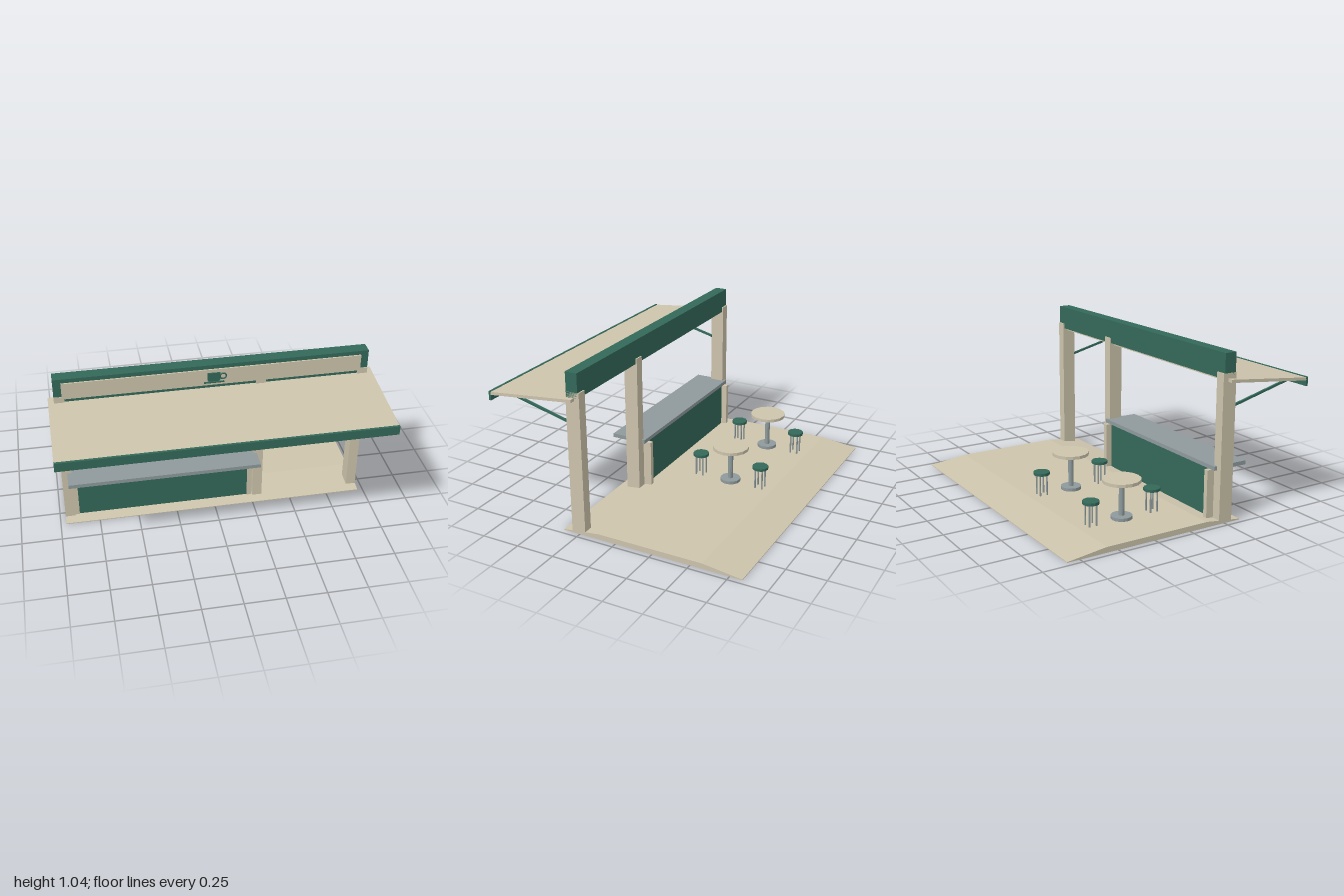
import * as THREE from 'three';

export function createModel() {
  const root = new THREE.Group();
  root.name = 'cafeStand';

  const material = (name, color) => {
    const m = new THREE.MeshStandardMaterial({ color });
    m.name = name;
    return m;
  };
  const cream = material('cream', 0xcdc4ac);
  const green = material('green', 0x34695a);
  const grey = material('grey', 0x8f9a9c);

  const add = (name, geometry, mat, parent = root) => {
    const mesh = new THREE.Mesh(geometry, mat);
    mesh.name = name;
    parent.add(mesh);
    return mesh;
  };
  // Box given by its limits on each axis
  const box = (name, mat, x0, x1, y0, y1, z0, z1) => {
    const mesh = add(name, new THREE.BoxGeometry(x1 - x0, y1 - y0, z1 - z0), mat);
    mesh.position.set((x0 + x1) / 2, (y0 + y1) / 2, (z0 + z1) / 2);
    return mesh;
  };
  // Side profile of [z, y] points, extruded along x
  const sideProfile = (name, mat, points, width, x = 0) => {
    const shape = new THREE.Shape(points.map(([z, y]) => new THREE.Vector2(z, y)));
    const geometry = new THREE.ExtrudeGeometry(shape, { depth: width, bevelEnabled: false });
    geometry.translate(0, 0, -width / 2).rotateY(-Math.PI / 2);
    const mesh = add(name, geometry, mat);
    mesh.position.x = x;
    return mesh;
  };
  // Upright faceted disc or rod
  const disc = (name, mat, parent, r, y0, y1, sides, x = 0, z = 0) => {
    const geometry = new THREE.CylinderGeometry(r, r, y1 - y0, sides).toNonIndexed();
    geometry.computeVertexNormals();
    add(name, geometry, mat, parent).position.set(x, (y0 + y1) / 2, z);
  };

  // Floor with ramps at front and back
  const floorY = 0.035;
  sideProfile('floor', cream, [
    [0.363, 0], [0.363, 0.005], [0.118, floorY], [-0.575, floorY], [-0.83, 0.004], [-0.83, 0],
  ], 1.93);

  // Posts
  for (const x of [-0.965, 0.26, 0.903]) {
    box('post', cream, x, x + 0.062, 0.004, 0.922, 0.21, 0.302);
  }

  // Sign beam with its inset panel
  box('signBeam', green, -0.965, 0.965, 0.887, 1.042, 0.219, 0.297);
  box('signPanel', cream, -0.917, 0.917, 0.909, 1.016, 0.297, 0.306);

  // Flat cup ornament on the panel
  const cup = new THREE.Shape([
    [-0.034, 0.938], [0.03, 0.938], [0.037, 0.95], [0.037, 0.995], [-0.043, 0.995], [-0.043, 0.95],
  ].map(([x, y]) => new THREE.Vector2(x, y)));
  add('cupBody', new THREE.ExtrudeGeometry(cup, { depth: 0.008, bevelEnabled: false }), green)
    .position.z = 0.305;
  add('cupHandle', new THREE.TorusGeometry(0.019, 0.005, 6, 16), green)
    .position.set(0.053, 0.968, 0.309);
  box('cupSaucer', green, -0.064, 0.06, 0.926, 0.934, 0.305, 0.314);

  // Awning, valance and braces
  sideProfile('awning', cream, [
    [0.816, 0.813], [0.816, 0.832], [0.243, 0.89], [0.243, 0.871],
  ], 2);
  box('valance', green, -1, 1, 0.778, 0.835, 0.815, 0.83);
  for (const side of [-1, 1]) {
    sideProfile('awningBrace', green, [
      [0.775, 0.806], [0.775, 0.82], [0.298, 0.7], [0.298, 0.686],
    ], 0.014, side * 0.903);
  }

  // Counter
  box('counterTop', grey, -0.93, 0.28, 0.33, 0.355, 0.19, 0.425);
  box('counterPanel', green, -0.874, 0.224, 0.008, 0.331, 0.2, 0.288);
  for (const x of [-0.904, 0.224]) {
    box('counterLeg', cream, x, x + 0.03, 0.008, 0.33, 0.16, 0.294);
  }

  // Tables, each with two stools
  for (const x of [-0.645, -0.04]) {
    const table = new THREE.Group();
    table.name = 'table';
    table.position.set(x, 0, -0.275);
    root.add(table);
    disc('tableTop', cream, table, 0.118, 0.266, 0.286, 16);
    disc('tablePole', grey, table, 0.017, 0.05, 0.268, 10);
    disc('tableBase', grey, table, 0.066, floorY - 0.002, 0.055, 16);

    for (const side of [-1, 1]) {
      const stool = new THREE.Group();
      stool.name = 'stool';
      stool.position.set(x, 0, -0.273 + side * 0.215);
      root.add(stool);
      disc('stoolSeat', green, stool, 0.052, 0.17, 0.188, 12);
      for (const lx of [-0.024, 0.024]) {
        for (const lz of [-0.024, 0.024]) {
          disc('stoolLeg', grey, stool, 0.006, floorY - 0.002, 0.172, 6, lx, lz);
        }
      }
    }
  }

  return root;
}
